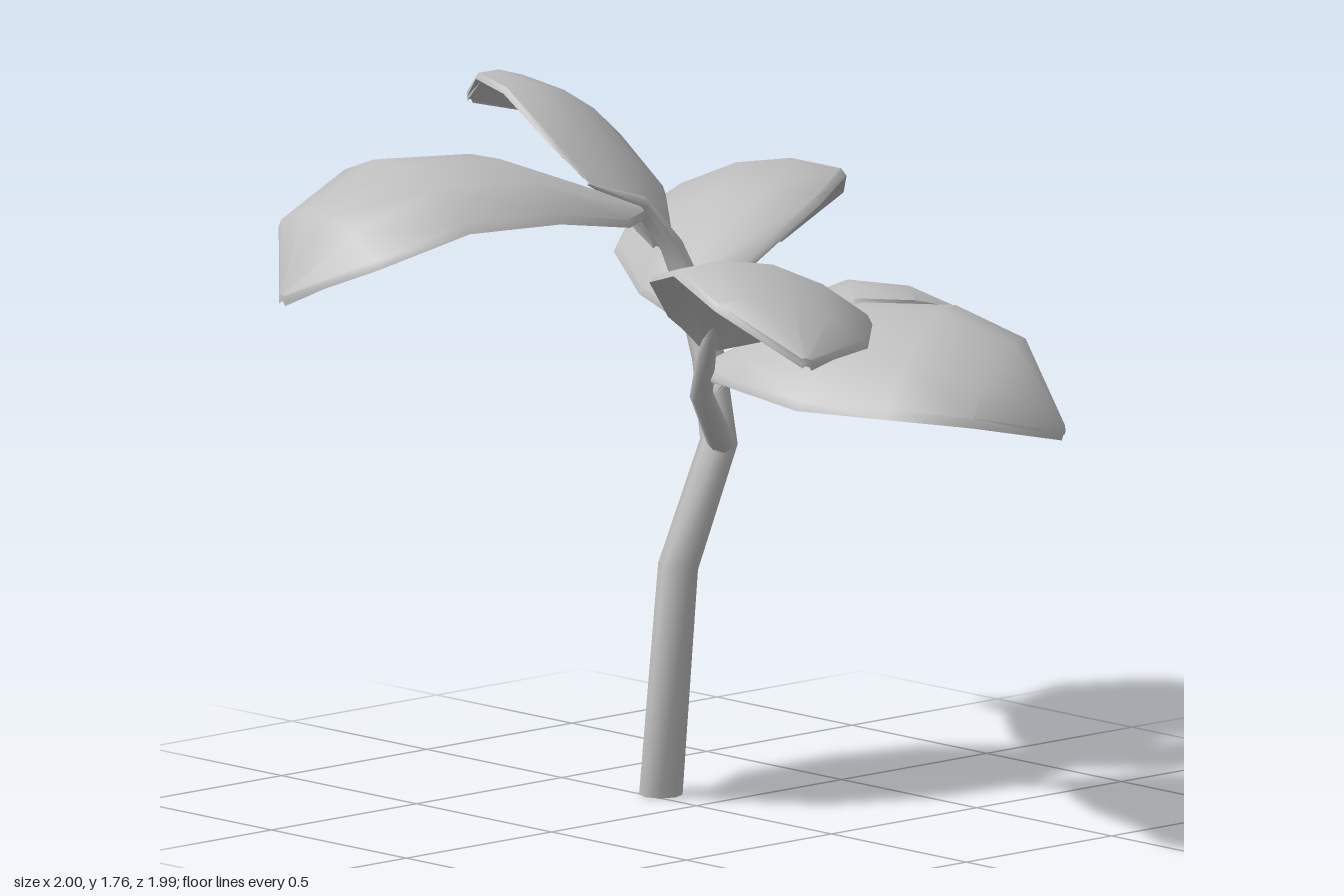
import * as THREE from 'three';
import { toCreasedNormals } from 'three/addons/utils/BufferGeometryUtils.js';

const V = (p) => new THREE.Vector3(...p);

// Skin a row of closed rings (arrays of Vector3) and cap both ends
function loft(rings, crease) {
  const n = rings[0].length, last = (rings.length - 1) * n, index = [];
  for (let i = 0; i < rings.length - 1; i++) {
    for (let j = 0; j < n; j++) {
      const a = i * n + j, b = i * n + (j + 1) % n;
      index.push(a, b, b + n, a, b + n, a + n);
    }
  }
  for (let j = 1; j < n - 1; j++) {
    index.push(0, j + 1, j, last, last + j, last + j + 1);
  }
  const geometry = new THREE.BufferGeometry().setFromPoints(rings.flat());
  geometry.setIndex(index);
  return toCreasedNormals(geometry, crease);
}

// Tapered stem through points [x, y, z, radius]
function stemGeometry(path, sides = 8) {
  const pts = path.map((p) => V(p.slice(0, 3)));
  const rings = pts.map((c, i) => {
    const before = pts[Math.max(i - 1, 0)], after = pts[Math.min(i + 1, pts.length - 1)];
    const t = i === 0 && path[0][1] === 0 ? V([0, 1, 0]) : after.clone().sub(before).normalize();
    const a = V([0, 0, 1]).cross(t).normalize(), b = t.clone().cross(a);
    return Array.from({ length: sides }, (_, j) => {
      const angle = (j / sides) * Math.PI * 2, r = path[i][3];
      return c.clone().addScaledVector(a, r * Math.cos(angle)).addScaledVector(b, r * Math.sin(angle));
    });
  });
  return loft(rings, 0.9);
}

// Cupped leaf: spine points, half width, sideways slope
const PROFILE = [0.1, 0.5, 0.94, 1, 0.77, 0.05];
// Section as [across, drop]: top, right rim, underside, left rim
const SECTION = [
  [-0.95, 0], [-0.5, 0], [0, 0], [0.5, 0], [0.95, 0], [1, 0.014],
  [0.9, 0.025], [0.45, 0.02], [0, 0.02], [-0.45, 0.02], [-0.9, 0.025], [-1, 0.014],
];
const CUP = 0.3;

function leafGeometry({ spine, width, slope }) {
  const pts = spine.map(V);
  const along = pts[5].clone().sub(pts[0]).setY(0).normalize();
  const side = along.clone().cross(V([0, 1, 0]));
  const rings = pts.map((c, i) => SECTION.map(([u, drop]) => {
    const w = width * PROFILE[i];
    const p = c.clone().addScaledVector(side, u * w);
    p.y += w * (slope * u - CUP * u * u) - drop;
    return p;
  }));
  return loft(rings, 0.85);
}

const TRUNK = [
  [0.035, 0, -0.17, 0.055], [0.02, 0.6, -0.09, 0.051], [0.17, 0.9, -0.1, 0.048],
  [0.2, 1.1, -0.17, 0.042], [0.2, 1.25, -0.23, 0.036], [0.165, 1.38, -0.27, 0.03],
  [0.07, 1.495, -0.28, 0.024], [-0.1, 1.57, -0.295, 0.003],
];
const BRANCH = [
  [0.16, 0.9, -0.08, 0.034], [-0.03, 1.07, 0.05, 0.03],
  [-0.085, 1.2, 0.13, 0.024], [-0.145, 1.36, 0.25, 0.003],
];

const LEAVES = [
  { name: 'backLeftBigLeaf', width: 0.3, slope: 0.08, spine: [
    [0.05, 1.5, -0.27], [-0.07, 1.55, -0.29], [-0.35, 1.66, -0.35],
    [-0.63, 1.675, -0.4], [-0.865, 1.57, -0.435], [-1, 1.385, -0.46]] },
  { name: 'backRightBigLeaf', width: 0.285, slope: 0.27, spine: [
    [0.19, 1.22, -0.22], [0.29, 1.32, -0.32], [0.49, 1.45, -0.45],
    [0.695, 1.475, -0.6], [0.865, 1.39, -0.7], [0.99, 1.23, -0.77]] },
  { name: 'backUpperLeaf', width: 0.205, slope: -0.45, spine: [
    [0.13, 1.4, -0.28], [0.135, 1.49, -0.35], [0.13, 1.62, -0.465],
    [0.157, 1.725, -0.66], [0.163, 1.74, -0.82], [0.145, 1.675, -0.995]] },
  { name: 'rightSmallLeaf', width: 0.195, slope: 0.22, spine: [
    [0.17, 1.03, -0.13], [0.22, 1.125, -0.09], [0.34, 1.245, -0.03],
    [0.465, 1.3, 0.06], [0.575, 1.285, 0.17], [0.665, 1.23, 0.25]] },
  { name: 'frontLeftLeaf', width: 0.26, slope: 0.29, spine: [
    [-0.09, 1.24, 0.14], [-0.15, 1.335, 0.24], [-0.24, 1.47, 0.43],
    [-0.35, 1.535, 0.66], [-0.45, 1.48, 0.835], [-0.535, 1.365, 0.985]] },
  { name: 'frontRightLeaf', width: 0.25, slope: -0.38, spine: [
    [-0.025, 1.15, 0.06], [0.04, 1.21, 0.17], [0.1, 1.275, 0.385],
    [0.2, 1.285, 0.62], [0.305, 1.225, 0.795], [0.4, 1.055, 0.93]] },
];

export function createModel() {
  const grey = new THREE.MeshStandardMaterial({ color: 0xbfbfbf });
  grey.name = 'plain grey';
  const model = new THREE.Group();
  model.name = 'plant';
  const add = (name, geometry) => {
    const mesh = new THREE.Mesh(geometry, grey);
    mesh.name = name;
    model.add(mesh);
  };

  // Main stem and its side branch
  add('trunk', stemGeometry(TRUNK));
  add('sideBranch', stemGeometry(BRANCH));

  // Leaves spread around the stems
  for (const leaf of LEAVES) add(leaf.name, leafGeometry(leaf));
  return model;
}
